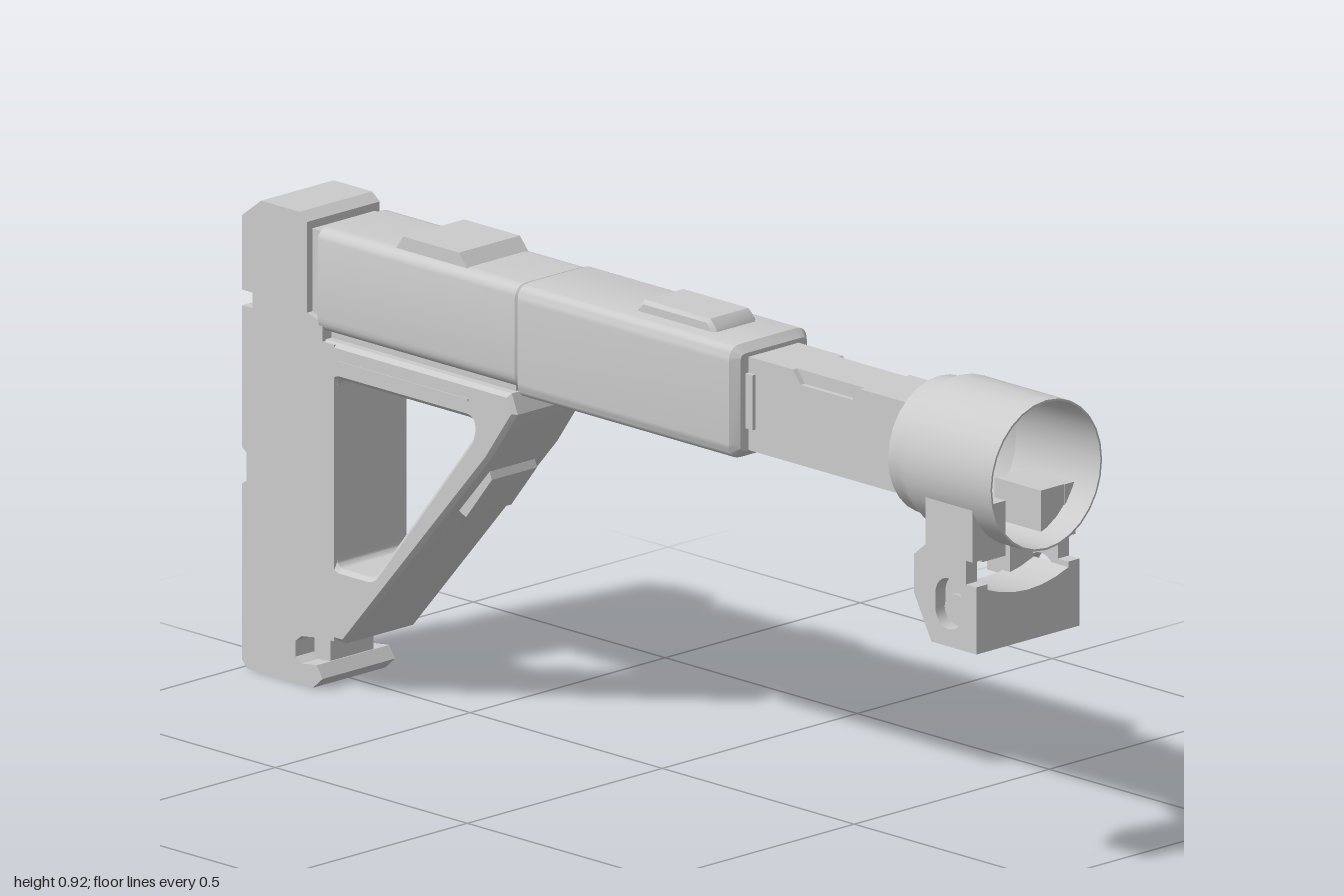
import * as THREE from 'three';
import { toCreasedNormals } from 'three/addons/utils/BufferGeometryUtils.js';

const material = new THREE.MeshStandardMaterial({ color: 0xcccccc, side: THREE.DoubleSide });

function shapeOf(points) {
  return new THREE.Shape(points.map(([x, y]) => new THREE.Vector2(x, y)));
}

// Closed outline with every corner cut by a quadratic curve of size r
function rounded(points, r, Type = THREE.Shape) {
  const p = points.map(([x, y]) => new THREE.Vector2(x, y));
  const s = new Type();
  p.forEach((c, i) => {
    const before = p[(i + p.length - 1) % p.length], after = p[(i + 1) % p.length];
    const a = c.clone().add(before.clone().sub(c).setLength(r));
    const b = c.clone().add(after.clone().sub(c).setLength(r));
    if (i === 0) s.moveTo(a.x, a.y); else s.lineTo(a.x, a.y);
    s.quadraticCurveTo(c.x, c.y, b.x, b.y);
  });
  s.closePath();
  return s;
}

function extrude(shape, depth, bevel) {
  const g = new THREE.ExtrudeGeometry(shape, {
    depth: depth - 2 * bevel, bevelEnabled: bevel > 0, bevelSize: bevel, bevelOffset: -bevel,
    bevelThickness: bevel, bevelSegments: 1, curveSegments: 6,
  });
  return g.translate(0, 0, bevel);
}

export function createModel() {
  const model = new THREE.Group();
  const add = (name, geometry, crease = 0.6) => {
    const mesh = new THREE.Mesh(toCreasedNormals(geometry, crease), material);
    mesh.name = name;
    model.add(mesh);
    return mesh;
  };
  // Side outline given in x, y and extruded from z0 to z1
  const side = (name, shape, z0, z1, bevel = 0) =>
    add(name, extrude(shape, z1 - z0, bevel).translate(0, 0, z0));
  // Cross-section given in z, y and extruded from x0 to x1
  const along = (name, shape, x0, x1, bevel = 0) =>
    add(name, extrude(shape, x1 - x0, bevel).rotateY(Math.PI / 2).translate(x0, 0, 0));
  const box = (name, x0, x1, y0, y1, z0, z1) =>
    add(name, new THREE.BoxGeometry(x1 - x0, y1 - y0, z1 - z0)
      .translate((x0 + x1) / 2, (y0 + y1) / 2, (z0 + z1) / 2));
  const section = (w, y0, y1) => [[-w, y0], [w, y0], [w, y1], [-w, y1]];

  // Butt plate with rear notches and the sling groove at the toe
  side('buttPlate', shapeOf([
    [-1, 0.015], [-0.985, 0], [-0.815, 0], [-0.79, 0.022], [-0.805, 0.045],
    [-0.845, 0.04], [-0.86, 0.05], [-0.86, 0.08], [-0.845, 0.092], [-0.79, 0.1],
    [-0.76, 0.1], [-0.76, 0.665], [-0.79, 0.665], [-0.79, 0.7], [-0.83, 0.712], [-0.83, 0.885], [-0.85, 0.9],
    [-0.95, 0.9], [-1, 0.862], [-1, 0.72], [-0.972, 0.72], [-0.972, 0.69], [-1, 0.69],
    [-1, 0.42], [-0.988, 0.412], [-0.988, 0.358], [-1, 0.35],
  ]), -0.093, 0.093);
  box('toePin', -0.85, -0.808, 0.042, 0.092, -0.055, 0.055);

  // Triangular brace with a rounded window
  const brace = shapeOf([
    [-0.79, 0.1], [-0.735, 0.1], [-0.36, 0.53], [-0.29, 0.63], [-0.305, 0.668], [-0.79, 0.668],
  ]);
  brace.holes.push(rounded([
    [-0.76, 0.6], [-0.76, 0.24], [-0.66, 0.24], [-0.4, 0.565], [-0.4, 0.6],
  ], 0.016, THREE.Path));
  side('brace', brace, -0.093, 0.093, 0.008);
  box('braceNeck', -0.8, -0.31, 0.655, 0.69, -0.07, 0.07);
  for (const s of [-1, 1]) {
    const z = s * 0.086;
    box('windowLip', -0.75, -0.41, 0.632, 0.637, Math.min(z, z + s * 0.009), Math.max(z, z + s * 0.009));
  }
  side('bracePad', shapeOf([
    [-0.5, 0.4], [-0.475, 0.405], [-0.452, 0.395], [-0.385, 0.48], [-0.392, 0.5], [-0.375, 0.525], [-0.42, 0.5],
  ]), -0.058, 0.058);

  // Rear shell with its raised saddle
  box('shellConnector', -0.84, -0.78, 0.7, 0.87, -0.08, 0.08);
  along('rearShell', rounded(section(0.097, 0.682, 0.88), 0.03), -0.805, -0.28, 0.006);
  side('saddle', shapeOf([
    [-0.62, 0.87], [-0.595, 0.904], [-0.45, 0.904], [-0.42, 0.87],
  ]), -0.078, 0.078);

  // Front shell with its button and end latch
  along('frontShell', rounded(section(0.1, 0.667, 0.883), 0.03), -0.29, 0.29, 0.015);
  side('topButton', shapeOf([
    [-0.015, 0.875], [-0.01, 0.89], [0.005, 0.905], [0.175, 0.905], [0.19, 0.89], [0.195, 0.875],
  ]), -0.056, 0.056, 0.007);
  box('endLatch', 0.28, 0.308, 0.725, 0.83, -0.072, 0.072);

  // Inner tube: core and notched side slabs
  box('tubeCore', 0.27, 0.77, 0.682, 0.86, -0.053, 0.053);
  for (const s of [-1, 1]) {
    side('tubeSide', shapeOf([
      [0.27, 0.682], [0.77, 0.682], [0.77, 0.86], [0.58, 0.86], [0.56, 0.835],
      [0.425, 0.835], [0.405, 0.86], [0.27, 0.86],
    ]), s > 0 ? 0.053 : -0.064, s > 0 ? 0.064 : -0.053);
  }

  // Thin open ring with a stepped neck and closed back
  const ring = [[0, 0.722], [0.122, 0.716], [0.13, 0.72], [0.13, 0.745], [0.143, 0.775], [0.143, 1],
    [0.139, 1], [0.139, 0.78], [0.122, 0.75], [0.113, 0.73], [0, 0.73]];
  add('ring', new THREE.LatheGeometry(ring.map(([r, x]) => new THREE.Vector2(r, x)), 28)
    .rotateZ(-Math.PI / 2).translate(0, 0.772, 0), 0.5);

  // Clamp lug: two slotted posts, upper blocks and a dished bottom bar
  const slot = () => {
    const path = new THREE.Path();
    path.absarc(0.88, 0.542, 0.035, 0, Math.PI, false);
    path.absarc(0.88, 0.515, 0.035, Math.PI, Math.PI * 2, false);
    path.closePath();
    return path;
  };
  for (const s of [-1, 1]) {
    const range = (a, b) => (s > 0 ? [a, b] : [-b, -a]);
    const post = shapeOf([
      [0.82, 0.72], [0.82, 0.63], [0.79, 0.605], [0.79, 0.53], [0.835, 0.447],
      [0.952, 0.447], [0.952, 0.575], [0.925, 0.575], [0.925, 0.62], [0.942, 0.62], [0.942, 0.72],
    ]);
    post.holes.push(slot());
    side('lugPost', post, ...range(0.104, 0.132));
    box('lugUpperBlock', 0.82, 0.94, 0.615, 0.72, ...range(0.045, 0.106));
    box('lugRearBlock', 0.8, 0.86, 0.54, 0.62, ...range(0.045, 0.106));
    add('lugPin', new THREE.CylinderGeometry(0.028, 0.028, 0.03, 16)
      .rotateX(Math.PI / 2).translate(0.88, 0.515, s * 0.1));
  }
  const bar = new THREE.Shape();
  bar.moveTo(-0.106, 0.447);
  bar.lineTo(0.106, 0.447);
  bar.lineTo(0.106, 0.565);
  bar.quadraticCurveTo(0, 0.522, -0.106, 0.565);
  bar.closePath();
  along('lugBottomBar', bar, 0.84, 0.952);
  return model;
}
